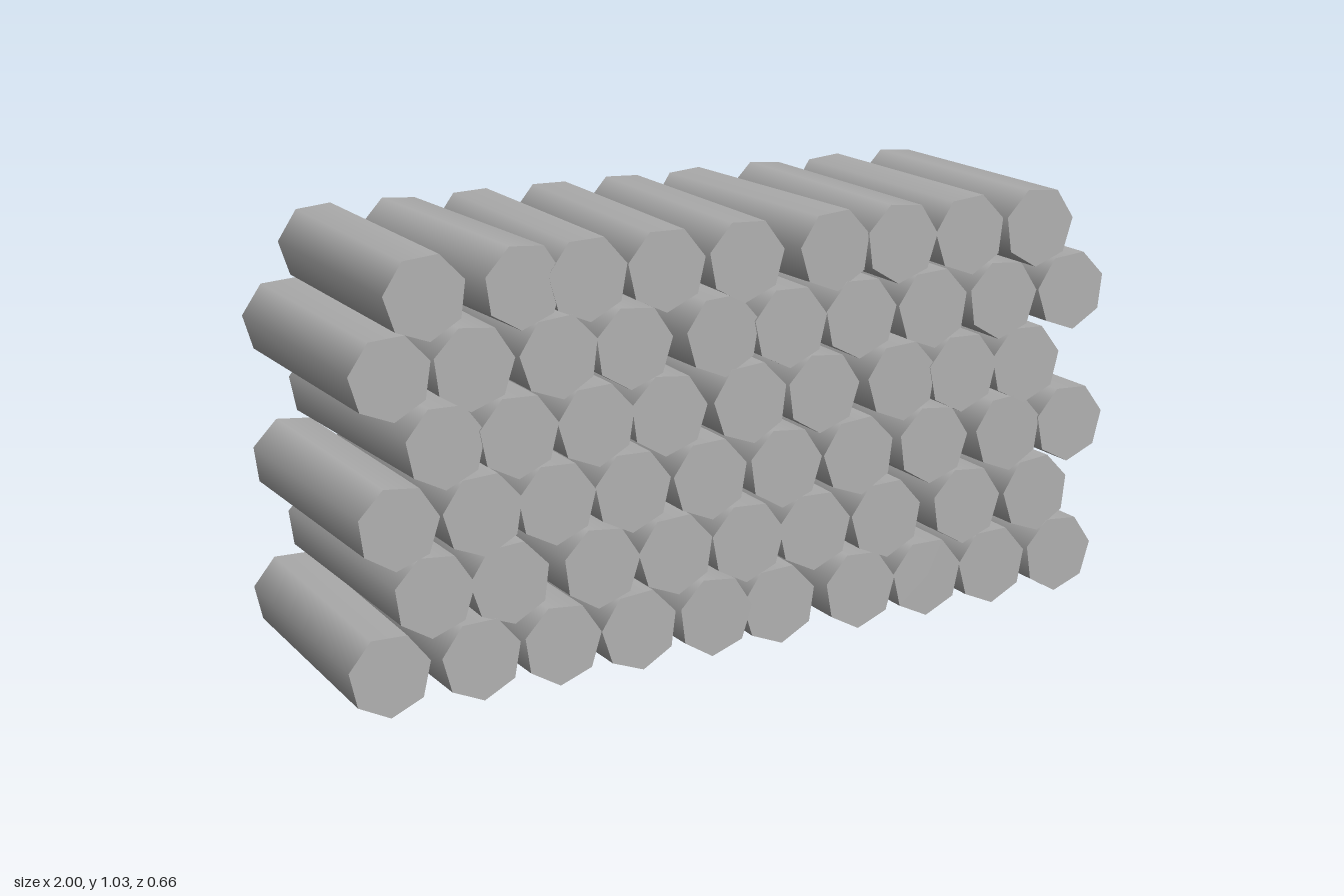
import * as THREE from 'three';

const RADIUS = 0.098, LENGTH = 0.65, ROW_STEP = 0.167;

// Log centres along x, one list per row from the bottom up
const ROWS = [
  [-0.90, -0.69, -0.49, -0.295, -0.10, 0.085, 0.30, 0.49, 0.68, 0.88],
  [-0.80, -0.605, -0.39, -0.20, -0.01, 0.18, 0.375, 0.60, 0.795],
  [-0.88, -0.68, -0.50, -0.31, -0.11, 0.09, 0.29, 0.50, 0.705, 0.90],
  [-0.775, -0.59, -0.40, -0.21, -0.005, 0.19, 0.40, 0.58, 0.77],
  [-0.89, -0.69, -0.49, -0.305, -0.09, 0.10, 0.29, 0.49, 0.69, 0.89],
  [-0.80, -0.585, -0.41, -0.21, -0.01, 0.20, 0.40, 0.59, 0.79],
];

// Sideways shift of the back end of the crooked logs, by position in the row
const SKEW = [
  { 0: 0.02, 4: -0.01, 5: 0.02 },
  { 1: 0.025, 5: 0.02, 6: 0.01, 8: -0.02 },
  { 8: -0.025 },
  { 0: -0.02, 3: 0.015, 6: -0.015, 8: 0.015 },
  { 1: 0.01, 4: -0.025 },
  { 0: 0.01, 1: -0.025, 2: 0.015, 3: 0.025, 4: 0.015, 5: -0.035 },
];

export function createModel() {
  const model = new THREE.Group();
  model.name = 'logStack';
  const wood = new THREE.MeshStandardMaterial({ color: 0xb0b0b0 });
  wood.name = 'greyWood';

  // Seven-sided log lying along z, with a flat side up
  const logGeometry = new THREE.CylinderGeometry(RADIUS, RADIUS, LENGTH, 7);
  logGeometry.rotateX(Math.PI / 2);

  ROWS.forEach((centres, row) => {
    const layer = new THREE.Group();
    layer.name = `logRow${row + 1}`;
    layer.position.y = 0.097 + row * ROW_STEP;
    centres.forEach((x, i) => {
      const log = new THREE.Mesh(logGeometry, wood);
      log.name = `log${row + 1}_${i + 1}`;
      log.position.x = x;
      // slight turn and roll so the logs look hand stacked
      log.rotation.y = -(SKEW[row][i] ?? 0) / LENGTH;
      log.rotation.z = 0.1 * Math.sin(row * 5.3 + i * 2.7);
      layer.add(log);
    });
    model.add(layer);
  });
  return model;
}
